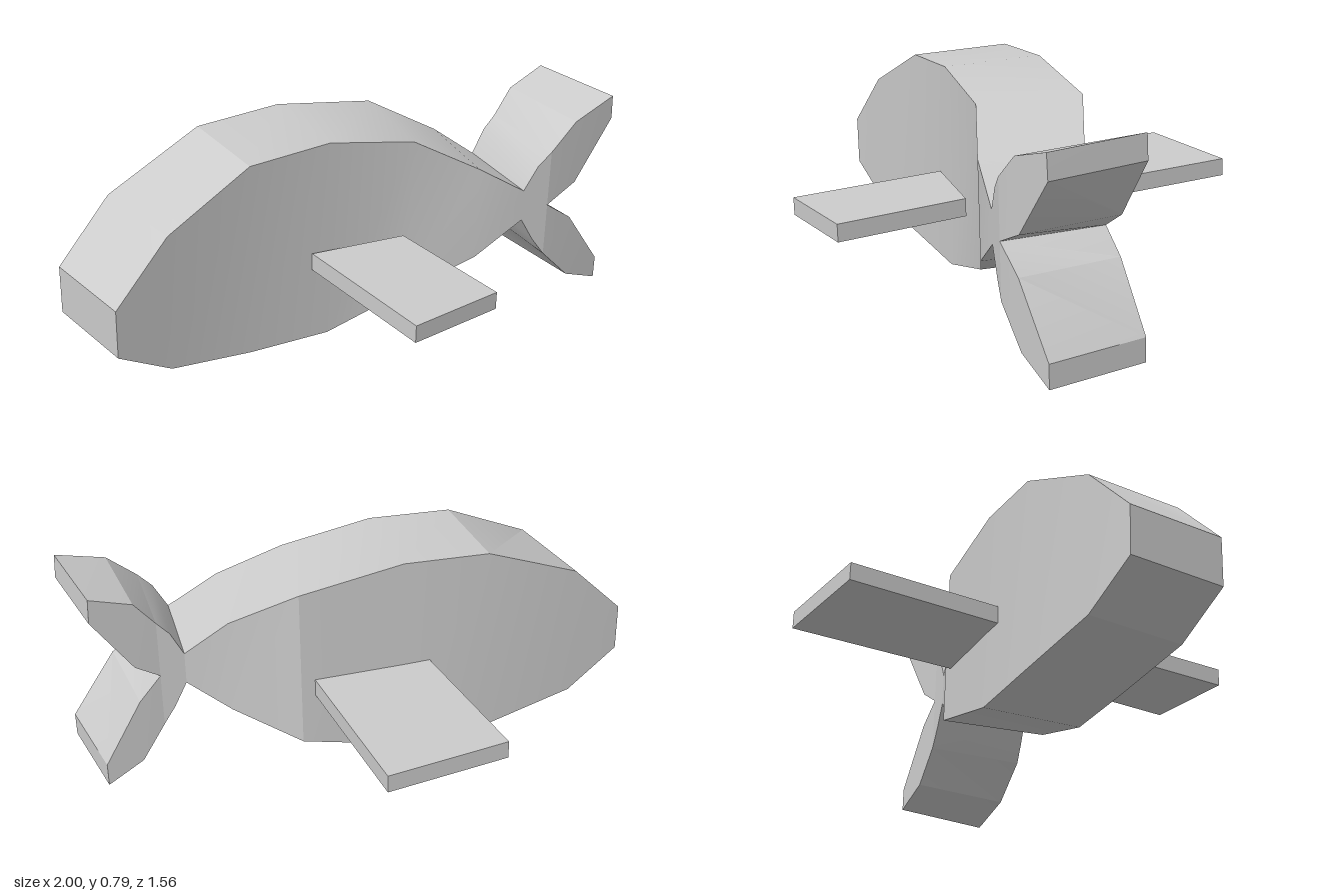
import * as THREE from 'three';
import { toCreasedNormals } from 'three/addons/utils/BufferGeometryUtils.js';

const material = new THREE.MeshStandardMaterial({ color: 0xcccccc });

// Swimming bend: x and z of the front side, then x and z of the back side
const BEND = [
  [-0.98, 0.195, -1.0, -0.175], [-0.77, 0.18, -0.79, -0.195], [-0.44, 0.165, -0.42, -0.21],
  [-0.13, 0.19, -0.1, -0.185], [0.2, 0.235, 0.28, -0.145], [0.42, 0.345, 0.5, -0.02],
  [0.6, 0.39, 0.65, 0.035], [0.7, 0.415, 0.74, 0.045], [0.83, 0.415, 0.83, 0.04], [1.0, 0.405, 0.975, 0.035],
];

function bend(x) {
  let i = 0;
  while (i < BEND.length - 2 && x > BEND[i + 1][0]) i++;
  const a = BEND[i], b = BEND[i + 1];
  const t = (x - a[0]) / (b[0] - a[0]);
  return a.map((v, k) => v + (b[k] - v) * t);
}

// Slab lofted through sections [topX, topY, bottomX, bottomY], following the bend
function slab(name, sections, capStart, capEnd) {
  const rings = sections.map(([tx, ty, bx, by]) => {
    const t = bend(tx), b = bend(bx);
    return [[t[0], ty, t[1]], [t[2], ty, t[3]], [b[2], by, b[3]], [b[0], by, b[1]]];
  });
  const pos = [];
  const quad = (a, b, c, d) => pos.push(...a, ...b, ...c, ...a, ...c, ...d);
  for (let i = 0; i < rings.length - 1; i++) {
    const p = rings[i], q = rings[i + 1];
    for (let j = 0; j < 4; j++) {
      const k = (j + 1) % 4;
      quad(p[j], q[j], q[k], p[k]);
    }
  }
  if (capStart) quad(...rings[0]);
  if (capEnd) quad(...rings[rings.length - 1].slice().reverse());
  const geometry = new THREE.BufferGeometry();
  geometry.setAttribute('position', new THREE.Float32BufferAttribute(pos, 3));
  return mesh(name, toCreasedNormals(geometry, 0.35));
}

function mesh(name, geometry) {
  const m = new THREE.Mesh(geometry, material);
  m.name = name;
  return m;
}

// Flat fin from its plan corners [x, z]
function fin(name, corners) {
  const shape = new THREE.Shape(corners.map(([x, z]) => new THREE.Vector2(x, -z)));
  const geometry = new THREE.ExtrudeGeometry(shape, { depth: 0.065, bevelEnabled: false });
  geometry.rotateX(-Math.PI / 2);
  geometry.translate(0, 0.315, 0);
  return mesh(name, geometry);
}

export function createModel() {
  const group = new THREE.Group();
  group.name = 'fish';

  // Body, from blunt nose to narrow tail root
  const body = slab('body', [
    [-0.98, 0.405, -0.98, 0.225], [-0.77, 0.615, -0.77, 0.1], [-0.44, 0.775, -0.44, 0.042],
    [-0.13, 0.792, -0.13, 0.032], [0.2, 0.73, 0.2, 0.125], [0.42, 0.607, 0.42, 0.247], [0.6, 0.49, 0.6, 0.37],
  ], true, false);

  // Tail: a root that splits into two lobes
  const tail = new THREE.Group();
  tail.name = 'tail';
  tail.add(
    slab('tailRoot', [[0.6, 0.49, 0.6, 0.37], [0.65, 0.58, 0.65, 0.28], [0.7, 0.63, 0.7, 0.21]], false, false),
    slab('upperTailLobe', [[0.7, 0.63, 0.7, 0.415], [0.81, 0.725, 0.83, 0.475], [0.995, 0.78, 1.0, 0.69]], false, true),
    slab('lowerTailLobe', [[0.7, 0.415, 0.7, 0.21], [0.82, 0.33, 0.83, 0.08], [0.99, 0.1, 0.99, 0.013]], false, true),
  );

  // Side fins
  const frontFin = fin('frontFin', [[-0.2, 0.19], [-0.19, 0.775], [0.17, 0.755], [0.15, 0.26]]);
  const backFin = fin('backFin', [[-0.2, -0.19], [0.23, -0.14], [0.23, -0.785], [-0.22, -0.77]]);

  // Slight roll of the whole fish
  const fish = new THREE.Group();
  fish.name = 'rolledFish';
  fish.add(body, tail, frontFin, backFin);
  fish.rotation.x = 0.025;
  fish.position.z = -0.01;
  group.add(fish);
  return group;
}
